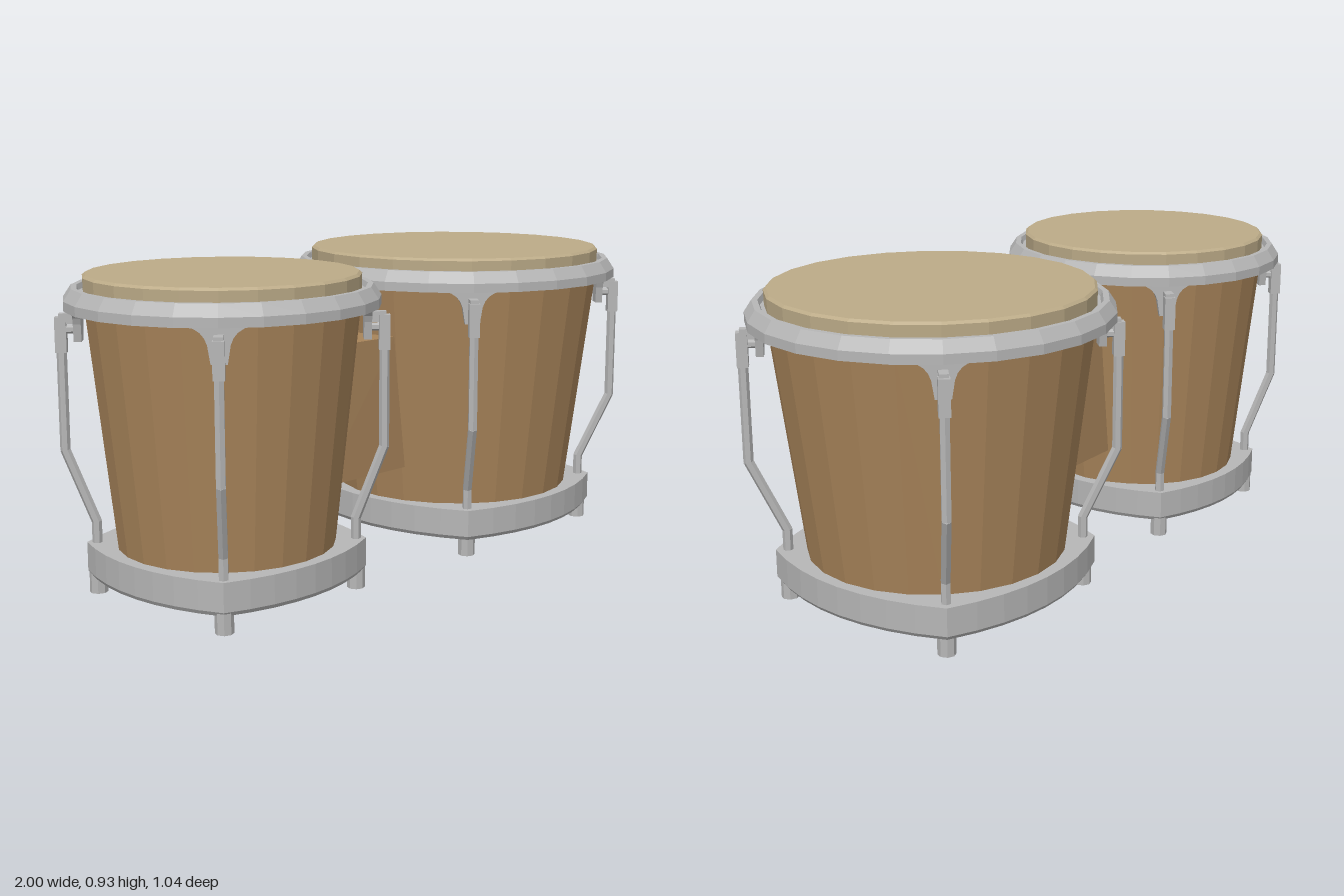
import * as THREE from 'three';

const wood = new THREE.MeshStandardMaterial({ color: 0xa8845a });
wood.name = 'wood';
const metal = new THREE.MeshStandardMaterial({ color: 0xb6b6b6 });
metal.name = 'metal';
const skin = new THREE.MeshStandardMaterial({ color: 0xbcab88 });
skin.name = 'drumSkin';

const SIDES = 24;

// Adds a faceted mesh to a parent
function add(parent, name, geometry, material, x = 0, y = 0, z = 0) {
  const g = geometry.index ? geometry.toNonIndexed() : geometry;
  g.computeVertexNormals();
  const mesh = new THREE.Mesh(g, material);
  mesh.name = name;
  mesh.position.set(x, y, z);
  parent.add(mesh);
  return mesh;
}

// Closed ring from [radius, height] pairs, counterclockwise
function ring(points) {
  return new THREE.LatheGeometry([...points, points[0]].map(p => new THREE.Vector2(...p)), SIDES);
}

// Straight six-sided bar between two points
function bar(parent, name, a, b, radius) {
  const from = new THREE.Vector3(...a), to = new THREE.Vector3(...b);
  const dir = to.clone().sub(from);
  const mesh = add(parent, name, new THREE.CylinderGeometry(radius, radius, dir.length() + 0.004, 6), metal);
  mesh.position.copy(from).add(to).multiplyScalar(0.5);
  mesh.quaternion.setFromUnitVectors(new THREE.Vector3(0, 1, 0), dir.normalize());
}

// Bottom ring with bowed sides that meet in four pointed corners
function baseGeometry(radius, corner, hole) {
  const s = new THREE.Shape();
  const k = 2 * radius - corner;
  s.moveTo(corner, -corner);
  s.quadraticCurveTo(k, 0, corner, corner);
  s.quadraticCurveTo(0, k, -corner, corner);
  s.quadraticCurveTo(-k, 0, -corner, -corner);
  s.quadraticCurveTo(0, -k, corner, -corner);
  s.holes.push(new THREE.Path().absarc(0, 0, hole, 0, Math.PI * 2, true));
  const g = new THREE.ExtrudeGeometry(s, { depth: 0.095, steps: 8, bevelEnabled: false, curveSegments: 8 });
  g.rotateX(-Math.PI / 2);
  // Chamfer the lower outside edge
  const p = g.attributes.position;
  for (let i = 0; i < p.count; i++) {
    if (p.getY(i) < 0.001 && Math.hypot(p.getX(i), p.getZ(i)) > hole + 0.02) {
      p.setX(i, p.getX(i) * 0.98);
      p.setZ(i, p.getZ(i) * 0.98);
    }
  }
  return g;
}

// Flared lug that hangs below the hoop
function bracketGeometry() {
  const s = new THREE.Shape();
  s.moveTo(-0.085, 0.012);
  s.lineTo(-0.085, 0);
  s.quadraticCurveTo(-0.04, -0.01, -0.03, -0.05);
  s.lineTo(-0.022, -0.1);
  s.lineTo(0.022, -0.1);
  s.lineTo(0.03, -0.05);
  s.quadraticCurveTo(0.04, -0.01, 0.085, 0);
  s.lineTo(0.085, 0.012);
  s.closePath();
  return new THREE.ExtrudeGeometry(s, { depth: 0.022, bevelEnabled: false, curveSegments: 4 });
}

// Tension rod, hook, bracket and foot for one corner; +z points outward
function corner(d) {
  const g = new THREE.Group();
  g.name = 'tensionCorner';
  const top = d.rodTop, low = d.rodLow;
  add(g, 'bracket', bracketGeometry(), metal, 0, 0.832, d.hoop - 0.05);
  add(g, 'hookBlock', new THREE.BoxGeometry(0.032, 0.1, 0.032), metal, 0, 0.75, top);
  add(g, 'hookArm', new THREE.BoxGeometry(0.026, 0.03, 0.05), metal, 0, 0.795, top - 0.02);
  add(g, 'hookPin', new THREE.CylinderGeometry(0.012, 0.012, 0.06, 6).rotateX(Math.PI / 2), metal, 0, 0.765, top - 0.025);
  const path = [[0, 0.71, top], [0, 0.42, top], [0, 0.21, low], [0, 0.14, low]];
  for (let i = 0; i < 3; i++) bar(g, 'tensionRod', path[i], path[i + 1], 0.0145);
  add(g, 'foot', new THREE.CylinderGeometry(0.026, 0.026, 0.06, 8), metal, 0, 0.03, low);
  return g;
}

function drum(name, x, d) {
  const g = new THREE.Group();
  g.name = name;
  g.position.x = x;
  // Tapered open shell
  add(g, 'shell', ring([[d.shellLow - 0.045, 0.12], [d.shellLow, 0.12], [d.head, 0.86], [d.head - 0.04, 0.86]]), wood);
  add(g, 'drumHead', ring([[0, 0.855], [d.head - 0.002, 0.855], [d.head, 0.918], [d.head - 0.008, 0.925], [0, 0.925]]), skin);
  // Rim hoop with a sloped shoulder
  add(g, 'hoop', ring([
    [d.head - 0.005, 0.83], [d.hoop, 0.83], [d.hoop, 0.857], [d.hoop - 0.022, 0.89],
    [d.head + 0.016, 0.89], [d.head + 0.01, 0.875], [d.head - 0.005, 0.875],
  ]), metal);
  add(g, 'baseRing', baseGeometry(d.base, d.corner, d.hole), metal, 0, 0.053, 0);
  for (let i = 0; i < 4; i++) {
    const c = corner(d);
    c.rotation.y = Math.PI / 4 + i * Math.PI / 2;
    g.add(c);
  }
  return g;
}

// Joining block whose ends follow the slope of both shells
function connectorGeometry() {
  const g = new THREE.BoxGeometry(1, 0.42, 1);
  const p = g.attributes.position;
  for (let i = 0; i < p.count; i++) {
    const up = p.getY(i) > 0, right = p.getX(i) > 0;
    p.setX(i, right ? (up ? 0.055 : 0.11) : (up ? -0.205 : -0.252));
    p.setZ(i, Math.sign(p.getZ(i)) * (right ? 0.11 : 0.092));
  }
  return g;
}

export function createModel() {
  const model = new THREE.Group();
  model.name = 'bongoDrums';
  model.add(drum('smallDrum', -0.557, {
    hoop: 0.443, head: 0.389, shellLow: 0.31, base: 0.348, corner: 0.283, hole: 0.265, rodTop: 0.452, rodLow: 0.371,
  }));
  model.add(drum('largeDrum', 0.48, {
    hoop: 0.52, head: 0.465, shellLow: 0.373, base: 0.41, corner: 0.33, hole: 0.325, rodTop: 0.53, rodLow: 0.431,
  }));
  add(model, 'connectorBlock', connectorGeometry(), wood, 0, 0.47, 0);
  return model;
}
